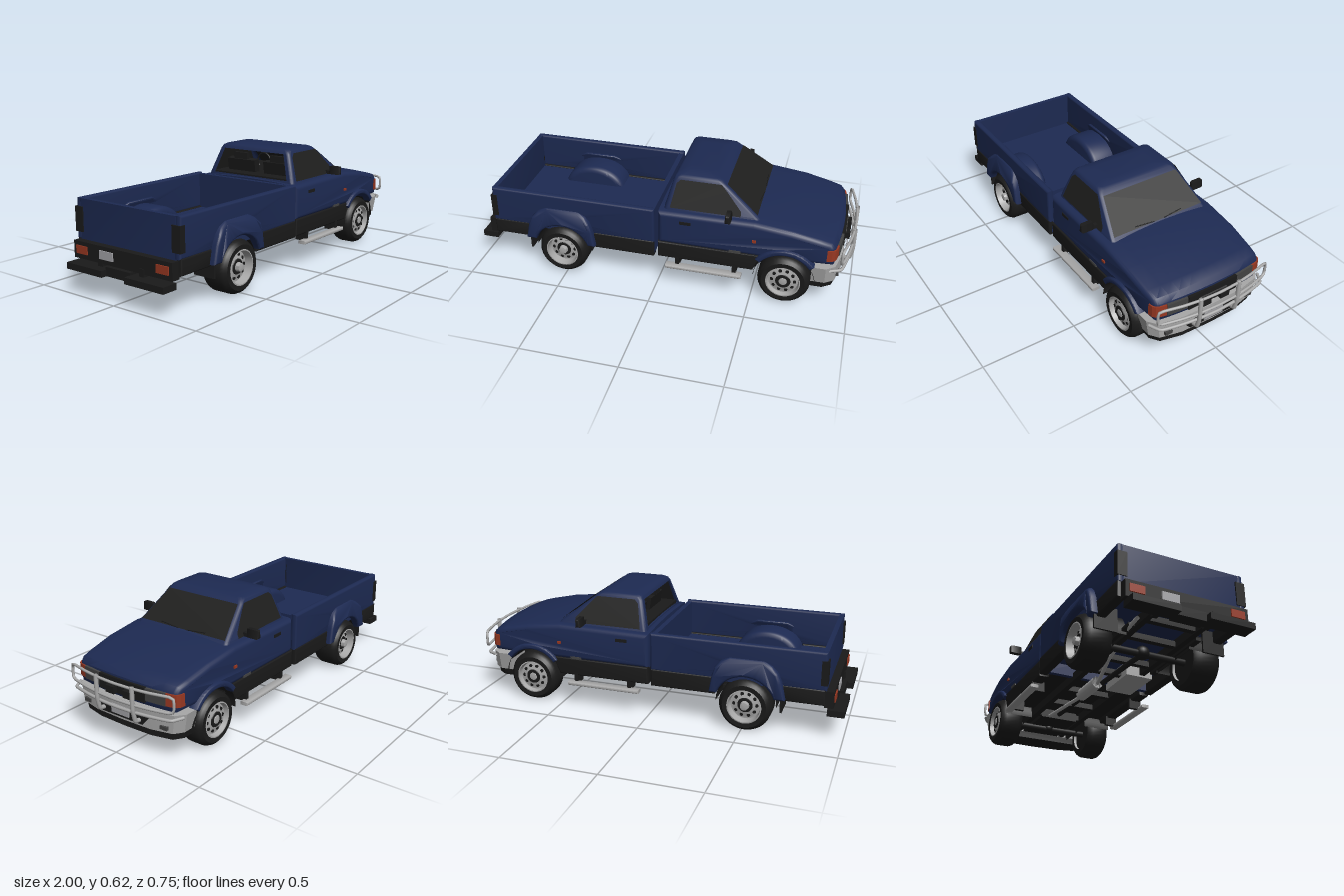
import * as THREE from 'three';
import { toCreasedNormals } from 'three/addons/utils/BufferGeometryUtils.js';

const mat = (name, color, side = THREE.FrontSide) => {
  const m = new THREE.MeshStandardMaterial({ color, side });
  m.name = name;
  return m;
};

export function createModel() {
  const truck = new THREE.Group();
  truck.name = 'pickupTruck';
  const blue = mat('bluePaint', 0x1d2a52, THREE.DoubleSide);
  const black = mat('blackTrim', 0x1a1a1a, THREE.DoubleSide);
  const glass = mat('darkGlass', 0x1f1f1e, THREE.DoubleSide);
  const chrome = mat('chrome', 0xa8a8a8, THREE.DoubleSide);
  const red = mat('redLamp', 0x983822);
  const lamp = mat('headlampGrey', 0x434343);
  const plateMat = mat('plateGrey', 0xa4a4a8);

  const add = (name, geo, m, parent = truck) => {
    const mesh = new THREE.Mesh(geo, m);
    mesh.name = name;
    parent.add(mesh);
    return mesh;
  };
  // Box given by its limits
  const box = (name, m, x0, x1, y0, y1, z0, z1) => {
    const b = add(name, new THREE.BoxGeometry(x1 - x0, y1 - y0, Math.abs(z1 - z0)), m);
    b.position.set((x0 + x1) / 2, (y0 + y1) / 2, (z0 + z1) / 2);
    return b;
  };
  const boxPair = (name, m, x0, x1, y0, y1, z0, z1) => {
    for (const s of [1, -1]) box(name, m, x0, x1, y0, y1, s * z0, s * z1);
  };
  const poly = pts => new THREE.Shape(pts.map(p => new THREE.Vector2(...p)));
  // Side profile extruded from z0 to z1 with rounded edges
  const slab = (name, m, shape, z0, z1, bevel = 0.01, steps = 1, warp) => {
    const g = new THREE.ExtrudeGeometry(shape, {
      depth: z1 - z0 - 2 * bevel, steps, curveSegments: 24, bevelEnabled: true,
      bevelThickness: bevel, bevelSize: bevel, bevelOffset: -bevel, bevelSegments: 4,
    }).translate(0, 0, z0 + bevel);
    if (warp) {
      const p = g.attributes.position;
      for (let i = 0; i < p.count; i++) p.setXYZ(i, ...warp(p.getX(i), p.getY(i), p.getZ(i)));
    }
    return add(name, toCreasedNormals(g, 0.6), m);
  };
  const slabPair = (name, m, shape, z0, z1, bevel, warp) => {
    slab(name, m, shape, z0, z1, bevel, 1, warp);
    slab(name, m, shape, -z1, -z0, bevel, 1, warp);
  };
  // Plan outline (x, -z) extruded upward from the ground
  const planGeo = (pts, depth) =>
    new THREE.ExtrudeGeometry(poly(pts), { depth, bevelEnabled: false }).rotateX(-Math.PI / 2);
  const tube = (name, m, pts, r, closed = false) => add(name, new THREE.TubeGeometry(
    new THREE.CatmullRomCurve3(pts.map(p => new THREE.Vector3(...p)), closed, 'catmullrom', 0.2), 64, r, 10, closed), m);
  // Flat polygon
  const panel = (name, m, pts) => {
    const g = new THREE.BufferGeometry();
    g.setAttribute('position', new THREE.Float32BufferAttribute(pts.flat(), 3));
    g.setIndex(pts.slice(2).flatMap((_, i) => [0, i + 1, i + 2]));
    g.computeVertexNormals();
    return add(name, g, m);
  };
  // Body side outline with a wheel arch cut into its bottom edge
  const archShape = (x0, x1, base, cx, r, top) => {
    const s = new THREE.Shape(), a = Math.asin((base - 0.135) / r);
    s.moveTo(x0, base);
    s.lineTo(cx - r * Math.cos(a), base);
    s.absarc(cx, 0.135, r, Math.PI - a, a, true);
    s.lineTo(x1, base);
    top.forEach(p => s.lineTo(...p));
    return s;
  };
  const FX = 0.665, RX = -0.515;

  // Hood, fenders and doors: crowned across, tapering to a bowed nose
  slab('cabAndHoodBody', blue, archShape(0.005, 0.925, 0.255, FX, 0.162,
    [[0.938, 0.29], [0.93, 0.36], [0.908, 0.385], [0.85, 0.4], [0.7, 0.432], [0.5, 0.457], [0.005, 0.45]]),
  -0.327, 0.327, 0.025, 10, (x, y, z) => {
    const n = Math.max(0, x - 0.6) / 0.33, h = Math.max(0, y - 0.26) / 0.19;
    return [x - 0.25 * z * z * n, y - 0.13 * z * z * h, z * (1 - 0.05 * n * n)];
  });

  // Cab upper: stacked rounded rectangles, open at the rear window
  const ring = ([y, x0, x1, hz, r]) => {
    const out = [];
    [[x1 - r, hz - r], [x0 + r, hz - r], [x0 + r, r - hz], [x1 - r, r - hz]].forEach(([cx, cz], k) => {
      for (let i = 0; i <= 4; i++) {
        const a = (k + i / 4) * Math.PI / 2;
        out.push([cx + r * Math.cos(a), y, cz + r * Math.sin(a)]);
      }
    });
    return out;
  };
  const rings = [[0.40, 0.02, 0.56, 0.298, 0.02], [0.455, 0.03, 0.51, 0.283, 0.02], [0.59, 0.065, 0.335, 0.235, 0.02],
    [0.606, 0.073, 0.318, 0.228, 0.025], [0.614, 0.085, 0.3, 0.216, 0.03], [0.62, 0.13, 0.26, 0.15, 0.03]].map(ring);
  const n = rings[0].length, idx = [];
  for (let k = 0; k < rings.length - 1; k++) for (let i = 0; i < n; i++) {
    if (k === 1 && i === 9) continue;
    const a = k * n + i, b = k * n + (i + 1) % n;
    idx.push(a, a + n, b + n, a, b + n, b);
  }
  const last = (rings.length - 1) * n;
  for (let i = 1; i < n - 1; i++) idx.push(last, last + i + 1, last + i);
  const cabGeo = new THREE.BufferGeometry();
  cabGeo.setAttribute('position', new THREE.Float32BufferAttribute(rings.flat(2), 3));
  cabGeo.setIndex(idx);
  add('cabRoofAndPillars', toCreasedNormals(cabGeo, 0.6), blue);

  // Windows as thin panes on both faces of the cab planes
  const t = y => (y - 0.455) / 0.135;
  const front = (y, z, d) => [0.51 - 0.175 * t(y) + d, y + d, z];
  for (const d of [0.0035, -0.004]) panel('windshield', glass,
    [front(0.46, -0.266, d), front(0.46, 0.266, d), front(0.588, 0.22, d), front(0.588, -0.22, d)]);
  for (const s of [1, -1]) {
    for (const z of [0.287, 0.279]) panel('sideWindow', glass,
      [[0.06, 0.452], [0.425, 0.452], [0.425, 0.478], [0.345, 0.565], [0.315, 0.594], [0.105, 0.594], [0.085, 0.575]]
        .map(([x, y]) => [x, y, s * (z - 0.048 * t(y))]));
    tube('wiper', black, [[0.506, 0.464, s * 0.03], [0.499, 0.472, s * 0.14]], 0.0025);
    const mirror = slab('doorMirror', black, poly([[0.358, 0.453], [0.387, 0.453], [0.384, 0.498], [0.361, 0.498]]), 0, 0.07, 0.01);
    mirror.position.z = s > 0 ? 0.303 : -0.373;
    box('mirrorArm', black, 0.362, 0.383, 0.452, 0.472, s * 0.27, s * 0.31);
    // Rear window posts and seats
    panel('rearPillar', blue, [[0.03, 0.455, s * 0.265], [0.03, 0.455, s * 0.245], [0.065, 0.59, s * 0.2], [0.065, 0.59, s * 0.217]]);
    box('seatBack', black, 0.12, 0.16, 0.43, 0.53, s * 0.03, s * 0.22).rotation.z = 0.15;
    box('headrest', black, 0.11, 0.135, 0.53, 0.565, s * 0.08, s * 0.17);
  }
  box('cabInteriorFloor', black, 0.045, 0.48, 0.44, 0.46, -0.265, 0.265);
  const steering = add('steeringWheel', new THREE.TorusGeometry(0.045, 0.005, 8, 24), black);
  steering.position.set(0.33, 0.49, -0.12);
  steering.rotation.y = Math.PI / 2;
  boxPair('doorHandle', black, 0.12, 0.18, 0.386, 0.402, 0.32, 0.331);
  boxPair('sideMarker', red, 0.495, 0.515, 0.338, 0.352, 0.32, 0.331);
  boxPair('fenderBadge', lamp, 0.38, 0.44, 0.262, 0.274, 0.32, 0.33);

  // Dark lower band and floor
  slabPair('cabSill', black, poly([[0.005, 0.17], [0.505, 0.17], [0.545, 0.262], [0.005, 0.262]]), 0.27, 0.329, 0.008);
  box('cabFloor', black, 0.01, 0.53, 0.2, 0.26, -0.28, 0.28);

  // Cargo bed
  slabPair('bedSide', blue, archShape(-0.91, -0.012, 0.255, RX, 0.165,
    [[-0.012, 0.452], [-0.905, 0.452]]), 0.302, 0.337, 0.012);
  box('bedFloor', blue, -0.9, -0.02, 0.24, 0.255, -0.31, 0.31);
  box('bedFrontWall', blue, -0.04, -0.014, 0.18, 0.446, -0.32, 0.32);
  slab('tailgate', blue, poly([[-0.908, 0.25], [-0.88, 0.25], [-0.88, 0.45], [-0.905, 0.45]]), -0.315, 0.315, 0.008);
  slabPair('bedSillFront', black, poly([[-0.355, 0.17], [-0.014, 0.17], [-0.014, 0.262], [-0.355, 0.262]]), 0.29, 0.338, 0.008);
  slabPair('bedSillRear', black, poly([[-0.905, 0.18], [-0.69, 0.18], [-0.69, 0.262], [-0.905, 0.262]]), 0.29, 0.338, 0.008);
  const hump = new THREE.Shape();
  hump.absellipse(RX, 0.22, 0.178, 0.135, 0.2, Math.PI - 0.2, false);
  slabPair('bedWheelHump', blue, hump, 0.16, 0.335, 0.03);
  boxPair('cornerTailLamp', black, -0.913, -0.88, 0.285, 0.41, 0.29, 0.34);

  // Wheel arch flares and dark wells
  slabPair('rearFlare', blue, archShape(-0.715, -0.33, 0.19, RX, 0.155,
    [[-0.345, 0.28], [-0.36, 0.325], [-0.385, 0.355], [-0.43, 0.378], [-0.6, 0.378], [-0.645, 0.355], [-0.675, 0.325], [-0.695, 0.28]]),
  0.315, 0.372, 0.014, (x, y, z) => [x, y, z - Math.sign(z) * 0.6 * Math.max(0, y - 0.325)]);
  const lip = new THREE.Shape(), la = Math.asin(0.11 / 0.185);
  lip.absarc(FX, 0.135, 0.185, la, Math.PI - la, false);
  lip.absarc(FX, 0.135, 0.156, Math.PI - la, la, true);
  slabPair('frontFlare', blue, lip, 0.29, 0.342, 0.01);
  for (const [cx, r] of [[FX, 0.157], [RX, 0.155]]) for (const s of [1, -1]) {
    const liner = new THREE.CylinderGeometry(r, r, 0.16, 32, 1, true, Math.PI / 2, Math.PI).rotateX(Math.PI / 2);
    add('wheelWell', liner, black).position.set(cx, 0.135, s * 0.25);
    add('wheelWellWall', new THREE.CircleGeometry(r, 32, 0, Math.PI), black).position.set(cx, 0.135, s * 0.175);
  }
  boxPair('mudFlap', black, -0.7, -0.69, 0.12, 0.25, 0.23, 0.35);

  // Wheels: tyre, dished rim, vent holes and hub
  const lathe = pts => toCreasedNormals(new THREE.LatheGeometry(pts.map(p => new THREE.Vector2(...p)), 40), 0.7);
  const wheel = (cx, zc, w, dish, s) => {
    const g = new THREE.Group(), h = w / 2;
    g.name = 'wheel';
    g.position.set(cx, 0.134, s * zc);
    g.rotation.x = s * Math.PI / 2;
    add('tyre', lathe([[0.086, -h], [0.112, -h], [0.126, 0.012 - h], [0.134, 0.03 - h], [0.134, h - 0.03], [0.126, h - 0.012], [0.112, h], [0.086, h - 0.003]]), black, g);
    add('rim', lathe([[0.087, -h], [0.083, h - dish], [0.083, h - 0.006], [0.089, h], [0.083, h + 0.001], [0.077, h - dish], [0.065, h - dish],
      [0.042, h - dish + 0.012], [0.024, h - dish + 0.012], [0.02, h - 0.004], [0, h]]), chrome, g);
    add('rimBack', new THREE.CylinderGeometry(0.085, 0.085, 0.01, 32), black, g).position.y = 0.02 - h;
    add('hubRing', new THREE.CylinderGeometry(0.037, 0.04, 0.006, 24), black, g).position.y = h - dish + 0.013;
    for (let i = 0; i < 10; i++) {
      const a = i * Math.PI / 5;
      add('ventHole', new THREE.CylinderGeometry(0.009, 0.009, 0.006, 12), black, g)
        .position.set(0.058 * Math.cos(a), h - dish + 0.004, 0.058 * Math.sin(a));
    }
    truck.add(g);
  };
  for (const s of [1, -1]) {
    wheel(FX, 0.277, 0.13, 0.022, s);
    wheel(RX, 0.295, 0.148, 0.04, s);
  }

  // Nose: grille, headlamps and wraparound corner lamps
  box('grille', black, 0.9, 0.942, 0.275, 0.35, -0.142, 0.142);
  box('grilleBar', lamp, 0.93, 0.946, 0.316, 0.322, -0.08, 0.08);
  boxPair('winchBox', black, 0.92, 0.965, 0.278, 0.314, 0.028, 0.08);
  for (const s of [1, -1]) {
    box('headlamp', lamp, 0.892, 0.932, 0.284, 0.348, s * 0.142, s * 0.252).rotation.y = -s * 0.1;
    const corner = [[0.868, 0.29], [0.868, 0.321], [0.892, 0.317], [0.907, 0.306], [0.916, 0.285], [0.923, 0.25], [0.9, 0.25]];
    add('cornerLamp', planGeo(corner.map(([x, z]) => [x, -s * z]), 0.062), red).position.y = 0.284;
  }

  // Front bumper: bowed plan, narrower toward the bottom
  const bumperPlan = [[0.8, -0.335], [0.87, -0.335], [0.915, -0.3], [0.94, -0.18], [0.945, 0], [0.94, 0.18], [0.915, 0.3], [0.87, 0.335], [0.8, 0.335]];
  const bumper = (name, m, y0, y1, kBottom, kTop, dx) => {
    const g = planGeo(bumperPlan, y1 - y0), p = g.attributes.position;
    for (let i = 0; i < p.count; i++) {
      const top = p.getY(i) > 0.01;
      p.setXYZ(i, p.getX(i) + dx, p.getY(i) + y0, p.getZ(i) * (top ? kTop : kBottom));
    }
    add(name, toCreasedNormals(g, 0.6), m);
  };
  bumper('frontBumper', chrome, 0.15, 0.245, 0.94, 0.99, 0);
  bumper('frontValance', black, 0.112, 0.15, 0.9, 0.93, -0.012);
  panel('bumperIntake', black, [[0.949, 0.163, -0.13], [0.949, 0.163, 0.13], [0.949, 0.212, 0.175], [0.949, 0.212, -0.175]]);
  box('frontPlate', plateMat, 0.953, 0.96, 0.18, 0.224, -0.055, 0.055);
  boxPair('fogLamp', lamp, 0.9, 0.934, 0.166, 0.184, 0.222, 0.262);

  // Bull bar
  const bx = z => 0.99 - 0.45 * z * z;
  const zs = [-0.3, -0.2, -0.1, 0, 0.1, 0.2, 0.3];
  tube('bullBarLoop', chrome, [...zs.map(z => [bx(z), 0.353, z]), [0.943, 0.342, 0.32], [0.943, 0.284, 0.32],
    ...zs.slice().reverse().map(z => [bx(z), 0.273, z]), [0.943, 0.284, -0.32], [0.943, 0.342, -0.32]], 0.007, true);
  tube('bullBarLower', chrome, [[0.89, 0.236, -0.33], ...zs.map(z => [bx(z) - 0.005, 0.234, z]), [0.89, 0.236, 0.33]], 0.008);
  for (const s of [1, -1]) tube('bullBarUpright', chrome,
    [[0.93, 0.182, s * 0.113], [0.975, 0.19, s * 0.113], [0.988, 0.25, s * 0.113], [0.988, 0.363, s * 0.113]], 0.011);

  // Rear bumper, lamps and plate
  box('rearPanel', black, -0.945, -0.9, 0.165, 0.25, -0.32, 0.32);
  boxPair('rearBumperStep', black, -1, -0.915, 0.12, 0.152, 0.075, 0.315);
  box('rearBumperCentre', black, -0.968, -0.9, 0.12, 0.165, -0.08, 0.08);
  boxPair('rearBumperBracket', black, -0.95, -0.86, 0.14, 0.19, 0.12, 0.15);
  boxPair('rearLamp', red, -0.951, -0.94, 0.19, 0.23, 0.225, 0.3);
  box('rearPlate', plateMat, -0.951, -0.943, 0.188, 0.23, -0.14, -0.05);

  // Side steps
  for (const s of [1, -1]) {
    slab('sideStep', chrome, poly([[0.05, 0.12], [0.45, 0.12], [0.45, 0.138], [0.05, 0.138]]), s > 0 ? 0.312 : -0.357, s > 0 ? 0.357 : -0.312, 0.006);
    for (const x of [0.1, 0.4]) box('stepBracket', black, x, x + 0.02, 0.125, 0.18, s * 0.26, s * 0.33);
  }

  // Chassis, axles, engine, tank and exhaust
  boxPair('frameRail', black, -0.9, 0.85, 0.155, 0.2, 0.125, 0.155);
  for (const x of [-0.8, -0.62, -0.36, -0.2, 0.1, 0.3, 0.5]) box('crossMember', black, x, x + 0.03, 0.16, 0.19, -0.15, 0.15);
  box('engine', black, 0.5, 0.86, 0.15, 0.27, -0.11, 0.11);
  for (const [x, r] of [[FX, 0.028], [RX, 0.036]]) {
    tube('axle', black, [[x, 0.14, -0.26], [x, 0.14, 0.26]], 0.018);
    add('differential', new THREE.SphereGeometry(r, 20, 14), black).position.set(x, 0.145, 0);
  }
  boxPair('leafSpring', black, -0.74, -0.3, 0.15, 0.165, 0.165, 0.195);
  tube('driveShaft', black, [[RX, 0.14, 0], [0.5, 0.18, 0]], 0.014);
  box('fuelTank', chrome, -0.26, -0.02, 0.145, 0.22, 0.05, 0.2);
  tube('muffler', chrome, [[-0.08, 0.155, -0.03], [0.12, 0.155, -0.03]], 0.033);
  tube('exhaustPipe', chrome, [[0.5, 0.16, -0.06], [0.12, 0.15, -0.03], [-0.08, 0.15, -0.03], [-0.35, 0.16, -0.1], [-0.52, 0.21, -0.1], [-0.68, 0.16, -0.17], [-0.83, 0.14, -0.2]], 0.01);

  return truck;
}
